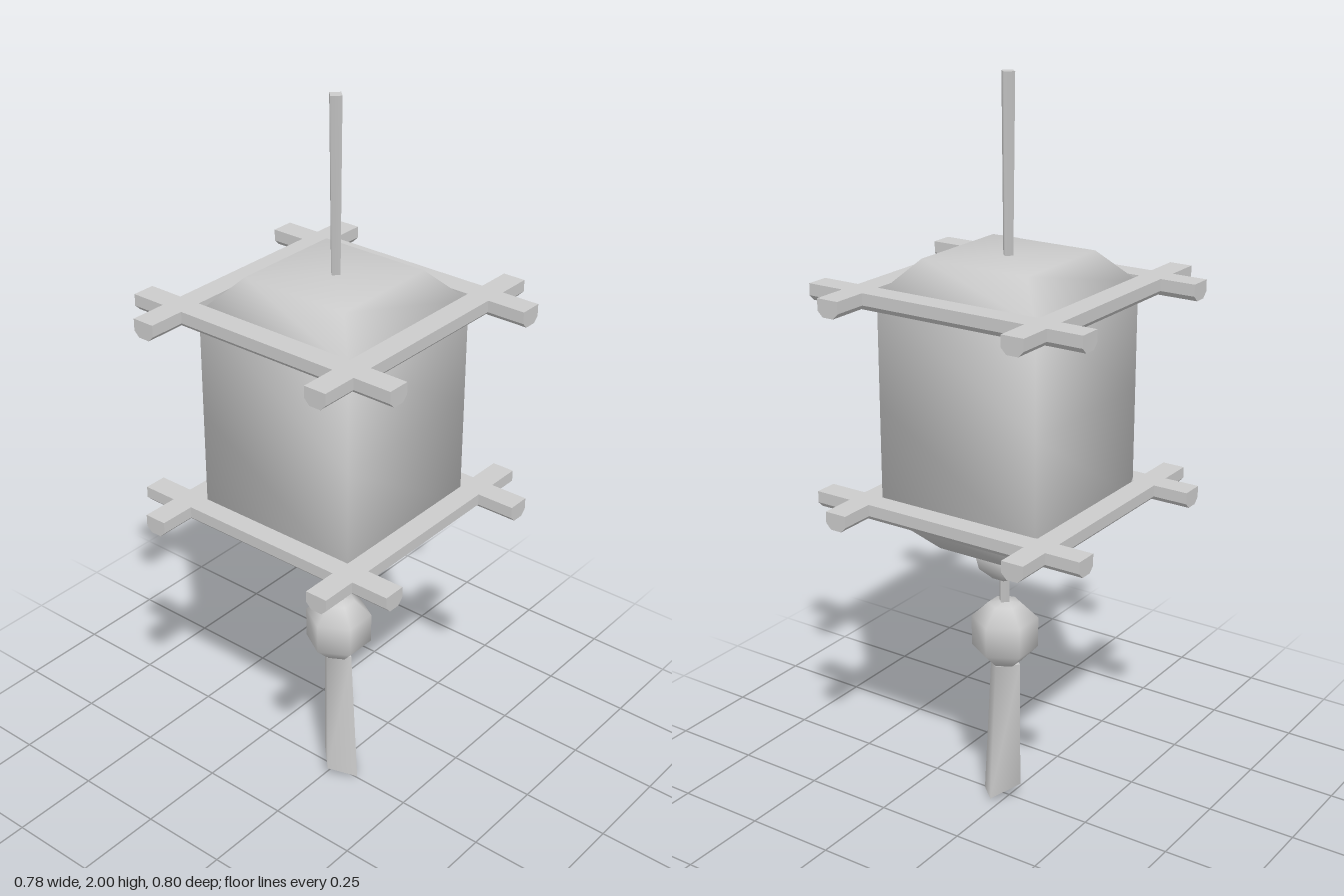
import * as THREE from 'three';

const material = new THREE.MeshStandardMaterial({ color: 0xcccccc });
const flat = new THREE.MeshStandardMaterial({ color: 0xcccccc, flatShading: true });

export function createModel() {
  const root = new THREE.Group();
  const add = (name, geometry, mat = material, parent = root) => {
    const mesh = new THREE.Mesh(geometry, mat);
    mesh.name = name;
    parent.add(mesh);
    return mesh;
  };
  // Turned part with few sides; points run upwards as [radius, y]
  const turned = (points, sides, start = 0) => new THREE.LatheGeometry(
    points.map(([r, y]) => new THREE.Vector2(r, y)), sides, start);

  // Square paper body with sloping roof and floor (half widths times sqrt 2)
  const body = turned([[0, 0.77], [0.13, 0.77], [0.235, 0.88], [0.235, 1.18], [0.235, 1.465], [0.155, 1.55], [0, 1.55]]
    .map(([h, y]) => [h * Math.SQRT2, y]), 4, Math.PI / 4);
  add('lanternBody', body);

  // Bars with a flat top and bevelled lower edges, crossing at the corners
  const bar = (length) => {
    const w = 0.031, h = 0.046, c = 0.015;
    const section = new THREE.Shape([[-w, h], [-w, c], [-w + c, 0], [w - c, 0], [w, c], [w, h]]
      .map(([x, y]) => new THREE.Vector2(x, y)));
    return new THREE.ExtrudeGeometry(section, { depth: length, bevelEnabled: false })
      .translate(0, 0, -length / 2);
  };
  for (const [name, y] of [['lowerFrame', 0.879], ['upperFrame', 1.436]]) {
    const frame = new THREE.Group();
    frame.name = name;
    frame.position.y = y;
    root.add(frame);
    for (const side of [-1, 1]) {
      add('sideBar', bar(0.8), flat, frame).position.x = side * 0.262 + 0.002;
      const cross = add('crossBar', bar(0.78), flat, frame);
      cross.rotation.y = Math.PI / 2;
      cross.position.z = side * 0.268 - 0.004;
    }
  }

  // Hanging rod and the stem under the body
  add('hangingRod', new THREE.CylinderGeometry(0.02, 0.015, 0.46, 4)).position.set(0.004, 1.77, 0);
  add('stem', new THREE.CylinderGeometry(0.016, 0.016, 0.12, 4)).position.set(0, 0.63, 0.015);

  // Cup and bead
  const cup = turned([[0, 0.665], [0.035, 0.67], [0.075, 0.705], [0.092, 0.77], [0, 0.77]], 6);
  add('cup', cup).position.z = 0.015;
  const bead = turned([[0, 0.415], [0.045, 0.42], [0.09, 0.465], [0.09, 0.55], [0.045, 0.592], [0, 0.6]], 6, Math.PI / 2);
  add('bead', bead).position.z = 0.014;

  // Four-sided tassel, wider and cut at a slant at the bottom
  const tassel = new THREE.CylinderGeometry(0.047, 0.06, 0.4, 4).translate(0, 0.23, 0);
  const p = tassel.attributes.position;
  for (let i = 0; i < p.count; i++) {
    const low = p.getY(i) < 0.1;
    if (low) p.setY(i, 0.036 - 0.42 * p.getZ(i) - 0.2 * p.getX(i));
    p.setZ(i, p.getZ(i) + (low ? 0.02 : 0.012));
    if (low) p.setX(i, p.getX(i) + 0.004);
  }
  // Keep the cut just above the ground
  tassel.computeBoundingBox();
  tassel.translate(0, -tassel.boundingBox.min.y, 0);
  tassel.computeVertexNormals();
  add('tassel', tassel);

  return root;
}
